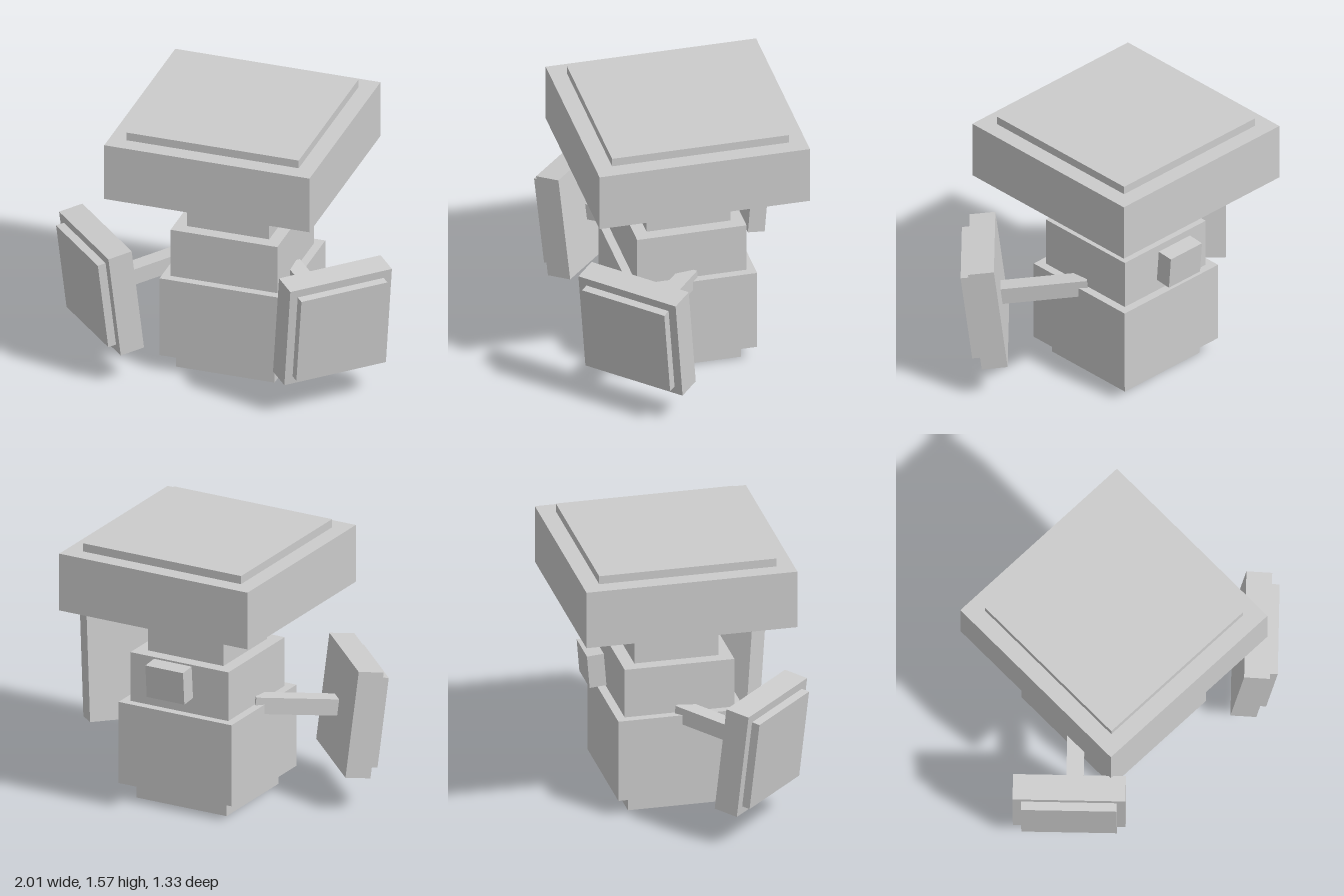
import * as THREE from 'three';

const U = 0.0492; // one grid step of the blocky design
const CX = 0.015, CZ = -0.05; // axis of the stacked body

export function createModel() {
  const model = new THREE.Group();
  const material = new THREE.MeshStandardMaterial({ color: 0xcccccc, flatShading: true });

  // Box sized in grid steps
  const box = (name, w, h, d, x, y, z, parent = model) => {
    const mesh = new THREE.Mesh(new THREE.BoxGeometry(w * U, h * U, d * U), material);
    mesh.name = name;
    mesh.position.set(x, y, z);
    parent.add(mesh);
    return mesh;
  };

  // Square blocks stacked from the ground up: name, width, height
  let base = 0;
  for (const [name, width, height] of [
    ['foot', 12, 2], ['lowerBody', 15, 10], ['upperBody', 13, 6],
    ['neck', 10, 6], ['head', 25, 7], ['headCap', 21, 1],
  ]) {
    box(name, width, height, width, CX, base + height * U / 2, CZ);
    base += height * U;
  }

  // Small tilted block floating behind the upper body
  box('tail', 5, 4, 2, CX, 0.806, -0.485).rotation.x = -0.08;

  // Arms and hand panels, turned 45 degrees outward and tipped downward
  for (const side of [1, -1]) {
    const label = side > 0 ? 'left' : 'right';
    const orient = (group, name, x, y, z) => {
      group.name = label + name;
      group.position.set(x, y, z);
      group.rotation.set(0.122, side * Math.PI / 4, 0, 'YXZ');
      model.add(group);
      return group;
    };

    const hand = orient(new THREE.Group(), 'Hand', side * 0.698, 0.527, side > 0 ? 0.363 : 0.328);
    box(label + 'HandSlab', 13, 13, 3, 0, 0, 0, hand);
    box(label + 'HandPlate', 11, 11, 1, 0, 0, 2 * U, hand);

    const arm = orient(new THREE.Group(), 'Arm', CX + side * 0.635, 0.53, 0.292);
    box(label + 'ArmBar', 2, 2, 10, 0, 0, -4.8 * U, arm);
  }

  return model;
}
